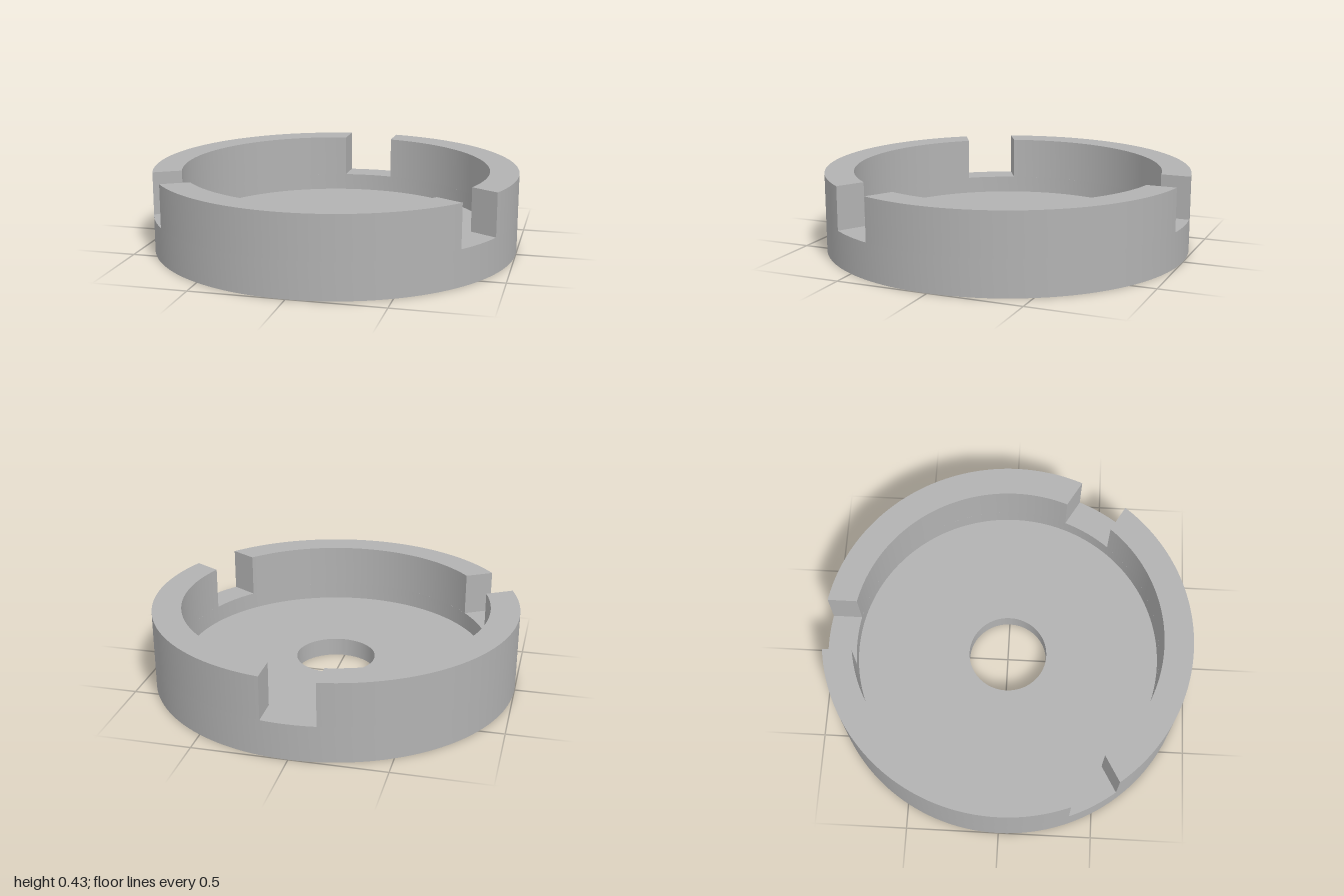
import * as THREE from 'three';
import { toCreasedNormals } from 'three/addons/utils/BufferGeometryUtils.js';

const R = 1, INNER = 0.842, BORE = 0.217;          // radii
const HEIGHT = 0.43, FLOOR = 0.1, NOTCH_Y = 0.195; // levels
const NOTCH_HALF = 0.142;                          // half width of the parallel-sided notches
const PIN_R = 0.041, PIN_RING = 0.405, PIN_DEPTH = 0.06;
const THIRD = Math.PI * 2 / 3;
const notchAngles = [0, 1, 2].map(i => Math.PI / 2 + i * THIRD); // first notch at the back

export function createModel() {
  const group = new THREE.Group();
  const grey = new THREE.MeshStandardMaterial({ color: 0xb2b2b2 });
  grey.name = 'grey';

  const add = (name, geometry) => {
    const mesh = new THREE.Mesh(toCreasedNormals(geometry, 0.5), grey);
    mesh.name = name;
    group.add(mesh);
    return mesh;
  };
  const lathe = (profile, segments) =>
    new THREE.LatheGeometry(profile.map(([x, y]) => new THREE.Vector2(x, y)), segments);

  // Dish: outer wall, ledge at notch level, inner wall, floor and bore
  add('dish', lathe([
    [R, 0], [R, NOTCH_Y], [INNER, NOTCH_Y], [INNER, FLOOR], [BORE, FLOOR], [BORE, 0],
  ], 144));

  // Underside with the bore and three pin holes cut out
  const disc = new THREE.Shape().absarc(0, 0, R, 0, Math.PI * 2);
  const cut = (x, y, r) => disc.holes.push(new THREE.Path().absarc(x, y, r, 0, Math.PI * 2, true));
  cut(0, 0, BORE);
  for (const a of notchAngles) cut(PIN_RING * Math.cos(a), -PIN_RING * Math.sin(a), PIN_R);
  add('underside', new THREE.ShapeGeometry(disc, 72).rotateX(Math.PI / 2));

  // Blind pin holes, in line with the notches
  for (const a of notchAngles) {
    const pocket = add('pinHole', lathe([[0, PIN_DEPTH], [PIN_R, PIN_DEPTH], [PIN_R, 0]], 32));
    pocket.position.set(PIN_RING * Math.cos(a), 0, -PIN_RING * Math.sin(a));
  }

  // Three raised rim sections between the notches
  const outerGap = Math.asin(NOTCH_HALF / R), innerGap = Math.asin(NOTCH_HALF / INNER);
  for (const a of notchAngles) {
    const b = a + THIRD;
    const shape = new THREE.Shape();
    shape.absarc(0, 0, R, a + outerGap, b - outerGap, false);
    shape.absarc(0, 0, INNER, b - innerGap, a + innerGap, true);
    shape.closePath();
    const geometry = new THREE.ExtrudeGeometry(shape, {
      depth: HEIGHT - NOTCH_Y, bevelEnabled: false, curveSegments: 48,
    });
    add('rimSection', geometry.rotateX(-Math.PI / 2).translate(0, NOTCH_Y, 0));
  }
  return group;
}
